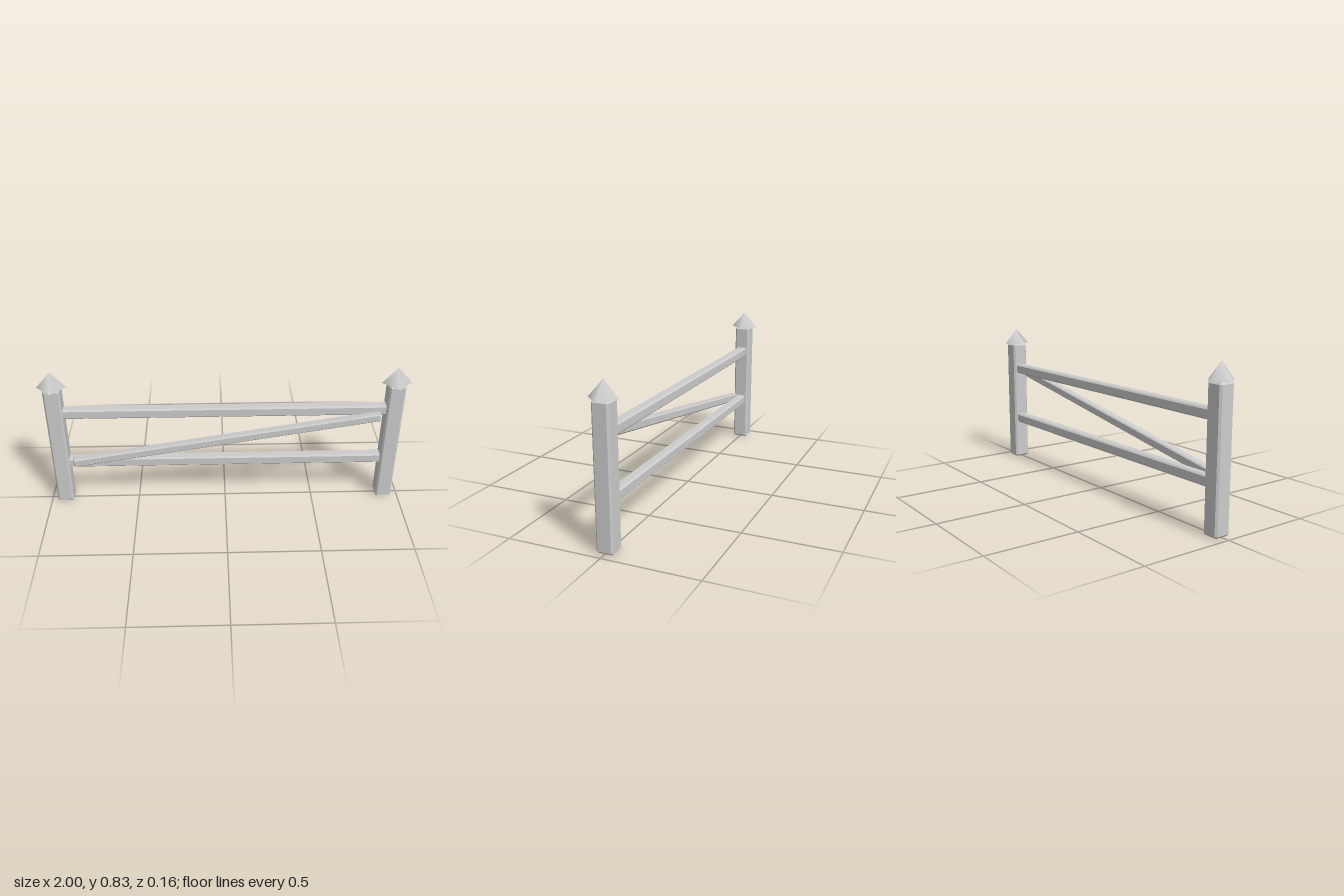
import * as THREE from 'three';
import { ConvexGeometry } from 'three/addons/geometries/ConvexGeometry.js';

const grey = new THREE.MeshStandardMaterial({ color: 0xcccccc });
grey.name = 'plain grey';

// Box with every edge chamfered by c
function chamferBox(w, h, d, c) {
  const points = [];
  for (const sx of [-1, 1]) for (const sy of [-1, 1]) for (const sz of [-1, 1]) {
    for (let full = 0; full < 3; full++) {
      const inset = [c, c, c];
      inset[full] = 0;
      points.push(new THREE.Vector3(
        sx * (w / 2 - inset[0]), sy * (h / 2 - inset[1]), sz * (d / 2 - inset[2])));
    }
  }
  return new ConvexGeometry(points);
}

export function createModel() {
  const model = new THREE.Group();
  model.name = 'fence';

  function add(name, geometry, x, y, z) {
    const mesh = new THREE.Mesh(geometry, grey);
    mesh.name = name;
    mesh.position.set(x, y, z);
    model.add(mesh);
    return mesh;
  }

  // Posts with pointed caps turned corner-on
  const post = chamferBox(0.09, 0.735, 0.09, 0.01);
  const cap = new THREE.ConeGeometry(0.081, 0.09, 4);
  for (const [side, x] of [['left', 0.918], ['right', -0.918]]) {
    add(side + 'Post', post, x, 0.3675, 0);
    add(side + 'Cap', cap, x, 0.781, 0);
  }

  // Horizontal rails
  const rail = chamferBox(1.8, 0.056, 0.056, 0.008);
  add('upperRail', rail, 0, 0.577, 0);
  add('lowerRail', rail, 0, 0.257, 0);

  // Diagonal brace on the front
  const brace = add('diagonalBrace', chamferBox(1.71, 0.047, 0.047, 0.007), 0, 0.414, 0.039);
  brace.rotation.z = 0.162;

  return model;
}
